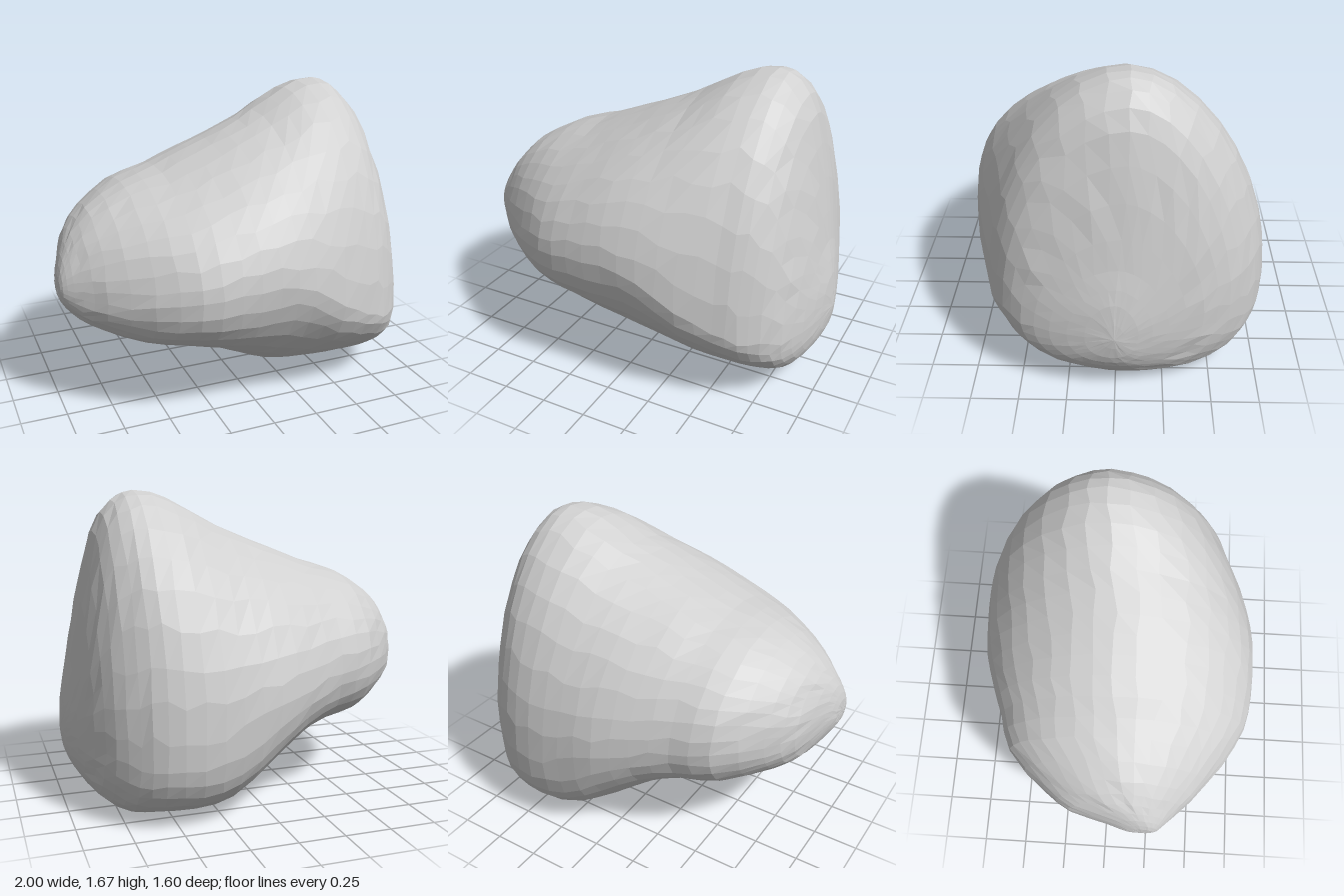
import * as THREE from 'three';

// Cross-sections along x: x, top, bottom, front z, back z, height of front bulge, height of back bulge, spine z
const SECTIONS = [
  [-1, .73, .73, .2, .2, .73, .73, .2],
  [-.995, .8, .67, .27, .12, .73, .73, .2],
  [-.965, .89, .61, .315, .02, .72, .75, .17],
  [-.9, .995, .53, .38, -.2, .71, .75, .11],
  [-.8, 1.1, .46, .48, -.35, .71, .75, .08],
  [-.6, 1.21, .375, .64, -.555, .72, .75, .04],
  [-.4, 1.27, .34, .755, -.625, .75, .73, .02],
  [-.2, 1.35, .27, .79, -.7, .78, .68, 0],
  [0, 1.43, .14, .795, -.765, .8, .62, 0],
  [.2, 1.52, .025, .785, -.79, .74, .55, -.03],
  [.4, 1.63, 0, .75, -.8, .6, .5, -.06],
  [.58, 1.67, 0, .69, -.765, .5, .5, -.07],
  [.7, 1.62, 0, .65, -.69, .45, .5, -.08],
  [.8, 1.46, .03, .58, -.59, .43, .5, -.07],
  [.88, 1.12, .1, .48, -.45, .41, .48, -.05],
  [.94, .78, .18, .33, -.27, .4, .45, -.02],
  [.98, .6, .27, .15, -.12, .4, .42, 0],
  [1, .4, .4, 0, 0, .4, .4, 0],
];
const AROUND = 36, STEPS = 2;
const { smoothstep, clamp } = THREE.MathUtils;

function seededNoise(seed) {
  return () => {
    seed = (seed * 16807) % 2147483647;
    return seed / 2147483647 - .5;
  };
}

// Smooth in-between section at a fractional index
function sectionAt(t) {
  const n = SECTIONS.length - 1, k = Math.min(Math.floor(t), n - 1), f = t - k;
  const [a, b, c, d] = [k - 1, k, k + 1, k + 2].map(i => SECTIONS[clamp(i, 0, n)]);
  return b.map((_, i) => b[i] + .5 * f * (c[i] - a[i]
    + f * (2 * a[i] - 5 * b[i] + 4 * c[i] - d[i] + f * (3 * (b[i] - c[i]) + d[i] - a[i]))));
}

function stoneGeometry() {
  const rows = (SECTIONS.length - 1) * STEPS, noise = seededNoise(71);
  const positions = [], index = [];
  for (let i = 0; i <= rows; i++) {
    const [x, top, bottom, front, back, frontY, backY, spine] = sectionAt(i / STEPS);
    const wobble = i === 0 || i === rows ? 0 : .012;
    // Roundness of each quarter: the foot is full at the back and cut away at the front
    const foot = smoothstep(x, -.3, .3) * (1 - smoothstep(x, .7, .95));
    const lowerFront = .88 + .34 * foot, lowerBack = .92 - .27 * foot;
    const upperFront = 1.05, upperBack = 1 + .12 * smoothstep(x, -.6, 0);
    for (let j = 0; j < AROUND; j++) {
      const angle = (j + (wobble ? noise() * .3 : 0)) / AROUND * Math.PI * 2;
      const c = Math.cos(angle), s = Math.sin(angle);
      const power = s >= 0 ? (c > 0 ? upperFront : upperBack) : (c > 0 ? lowerFront : lowerBack);
      const across = Math.abs(c) ** power, up = Math.abs(s) ** power;
      const mid = c > 0 ? frontY : backY;
      positions.push(
        x + noise() * wobble * (Math.abs(x) > .9 ? .2 : 1),
        Math.max(0, mid + up * (s > 0 ? top - mid : bottom - mid)),
        spine + across * (c > 0 ? front - spine : back - spine));
    }
  }
  for (let i = 0; i < rows; i++) {
    for (let j = 0; j < AROUND; j++) {
      const k = (j + 1) % AROUND;
      const a = i * AROUND + j, b = a + AROUND, c = i * AROUND + k, d = c + AROUND;
      if (i < rows - 1) index.push(a, b, d);
      else index.push(a, b, c);
      if (i > 0 && i < rows - 1) index.push(a, d, c);
    }
  }
  const geometry = new THREE.BufferGeometry();
  geometry.setAttribute('position', new THREE.Float32BufferAttribute(positions, 3));
  geometry.setIndex(index);
  geometry.computeVertexNormals();
  return geometry;
}

export function createModel() {
  const group = new THREE.Group();
  group.name = 'rock';
  const grey = new THREE.MeshStandardMaterial({ color: 0xd0d0d0, flatShading: true });
  grey.name = 'stone grey';
  const stone = new THREE.Mesh(stoneGeometry(), grey);
  stone.name = 'stone';
  group.add(stone);
  return group;
}
